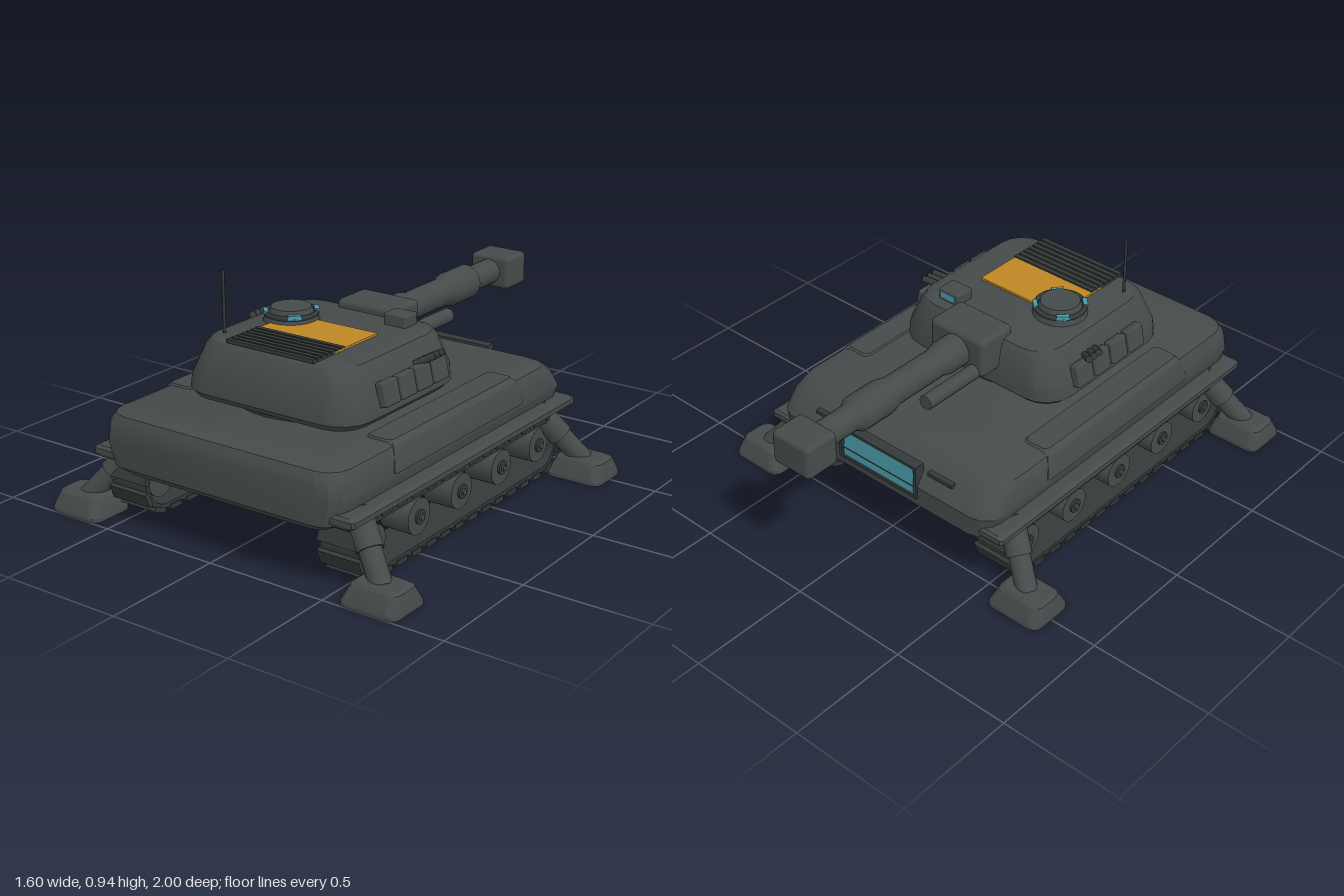
import * as THREE from 'three';
import { toCreasedNormals } from 'three/addons/utils/BufferGeometryUtils.js';
import { RoundedBoxGeometry } from 'three/addons/geometries/RoundedBoxGeometry.js';

const mat = (name, color) => {
  const m = new THREE.MeshStandardMaterial({ color });
  m.name = name;
  return m;
};

// Stack of rounded rectangles, each ring = [y, x0, x1, z0, z1, cornerRadius], bottom to top
function loft(rings, seg = 3) {
  const pos = [], index = [], n = 4 * (seg + 1);
  for (const [y, x0, x1, z0, z1, r] of rings) {
    for (let c = 0; c < 4; c++) {
      const cx = c === 0 || c === 3 ? x1 - r : x0 + r;
      const cz = c < 2 ? z1 - r : z0 + r;
      for (let k = 0; k <= seg; k++) {
        const a = (c + k / seg) * Math.PI / 2;
        pos.push(cx + r * Math.cos(a), y, cz + r * Math.sin(a));
      }
    }
  }
  const top = (rings.length - 1) * n;
  for (let j = 0; j < rings.length - 1; j++) {
    for (let i = 0; i < n; i++) {
      const a = j * n + i, b = j * n + (i + 1) % n;
      index.push(a, a + n, b, b, a + n, b + n);
    }
  }
  for (let i = 1; i < n - 1; i++) index.push(0, i, i + 1, top, top + i + 1, top + i);
  const g = new THREE.BufferGeometry();
  g.setAttribute('position', new THREE.Float32BufferAttribute(pos, 3));
  g.setIndex(index);
  return toCreasedNormals(g, 0.5);
}

// Stadium outline in the z-y plane, drawn as x-y
function stadium(Type, za, zb, y, r) {
  const p = new Type();
  p.absarc(zb, y, r, -Math.PI / 2, Math.PI / 2, false);
  p.absarc(za, y, r, Math.PI / 2, Math.PI * 1.5, false);
  p.closePath();
  return p;
}

export function createModel() {
  const model = new THREE.Group();
  model.name = 'tank';
  const armour = mat('armour grey', 0x454b4a);
  const dark = mat('dark grey', 0x343a39);
  const amber = mat('amber panel', 0xbd8624);
  const glass = mat('teal glass', 0x4a9cab);

  const add = (name, geo, m, x = 0, y = 0, z = 0) => {
    const mesh = new THREE.Mesh(geo, m);
    mesh.name = name;
    mesh.position.set(x, y, z);
    model.add(mesh);
    return mesh;
  };
  const box = (name, w, h, d, m, x, y, z) => add(name, new THREE.BoxGeometry(w, h, d), m, x, y, z);
  const rod = (name, a, b, r, m, sides = 16) => {
    const A = new THREE.Vector3(...a), d = new THREE.Vector3(...b).sub(A);
    const mesh = add(name, new THREE.CylinderGeometry(r, r, d.length(), sides), m);
    mesh.position.copy(A).addScaledVector(d, 0.5);
    mesh.quaternion.setFromUnitVectors(new THREE.Vector3(0, 1, 0), d.normalize());
    return mesh;
  };

  // Hull
  add('hull', loft([
    [0.22, -0.47, 0.47, -0.52, 0.94, 0.07],
    [0.25, -0.52, 0.52, -0.56, 0.97, 0.08],
    [0.34, -0.55, 0.55, -0.565, 0.975, 0.09],
    [0.41, -0.54, 0.54, -0.52, 0.97, 0.09],
    [0.445, -0.525, 0.525, -0.475, 0.95, 0.09],
    [0.455, -0.5, 0.5, -0.45, 0.925, 0.09],
  ]), armour);

  // Turret and its ring
  add('turretRing', new THREE.CylinderGeometry(0.34, 0.34, 0.04, 40), dark, 0, 0.465, 0.33);
  add('turret', loft([
    [0.47, -0.375, 0.375, -0.015, 0.68, 0.11],
    [0.495, -0.4, 0.4, -0.04, 0.7, 0.13],
    [0.55, -0.395, 0.395, -0.04, 0.695, 0.13],
    [0.66, -0.345, 0.345, -0.015, 0.66, 0.11],
    [0.685, -0.33, 0.33, 0, 0.64, 0.11],
    [0.692, -0.31, 0.31, 0.02, 0.62, 0.1],
  ], 4), armour);

  // Roof panel and louvred grille
  box('roofPanel', 0.4, 0.009, 0.27, amber, 0, 0.696, 0.385);
  box('grilleBed', 0.4, 0.008, 0.12, dark, 0, 0.695, 0.58);
  for (let i = 0; i < 7; i++) box('grilleSlat', 0.4, 0.014, 0.019, dark, 0, 0.7, 0.465 + i * 0.028);

  // Hatch with vision blocks
  add('hatchBase', new THREE.CylinderGeometry(0.1, 0.11, 0.035, 24), armour, -0.18, 0.705, 0.28);
  add('hatchLid', new THREE.CylinderGeometry(0.078, 0.088, 0.024, 24), armour, -0.18, 0.734, 0.28);
  const rim = add('hatchRim', new THREE.TorusGeometry(0.097, 0.01, 8, 32), dark, -0.18, 0.722, 0.28);
  rim.rotation.x = Math.PI / 2;
  for (let i = 0; i < 4; i++) {
    const a = Math.PI / 4 + i * Math.PI / 2;
    const b = box('hatchVisionBlock', 0.018, 0.018, 0.05, glass,
      -0.18 + 0.097 * Math.cos(a), 0.727, 0.28 + 0.097 * Math.sin(a));
    b.rotation.y = -a;
  }

  // Sight and antenna
  add('sight', new RoundedBoxGeometry(0.1, 0.055, 0.085, 2, 0.008), armour, 0.19, 0.71, 0.085);
  box('sightLens', 0.07, 0.026, 0.006, glass, 0.19, 0.715, 0.042);
  rod('antenna', [-0.28, 0.68, 0.555], [-0.28, 0.935, 0.555], 0.006, dark, 8);

  // Gun
  add('mantlet', new RoundedBoxGeometry(0.27, 0.165, 0.18, 3, 0.022), armour, 0, 0.643, -0.035);
  const profile = [[0, 0.1], [0.068, 0.1], [0.068, 0.2], [0.058, 0.24], [0.058, 0.48], [0.071, 0.53],
    [0.071, 0.67], [0.053, 0.7], [0.053, 0.88], [0, 0.88]].map(([r, l]) => new THREE.Vector2(r, l));
  const barrel = add('barrel', toCreasedNormals(new THREE.LatheGeometry(profile, 24), 0.5), armour, 0, 0.64, 0);
  barrel.rotation.x = -Math.PI / 2;
  add('muzzle', new RoundedBoxGeometry(0.185, 0.14, 0.15, 3, 0.02), armour, 0, 0.64, -0.925);

  // Driver window on the hull nose
  const windowGroup = new THREE.Group();
  windowGroup.name = 'driverWindow';
  const pane = (name, w, h, d, m, x, y, z) => {
    const p = new THREE.Mesh(new THREE.BoxGeometry(w, h, d), m);
    p.name = name;
    p.position.set(x, y, z);
    windowGroup.add(p);
  };
  pane('windowBacking', 0.39, 0.14, 0.03, dark, 0, 0, 0.018);
  pane('windowGlass', 0.36, 0.12, 0.008, glass, 0, 0, 0);
  for (const s of [-1, 1]) {
    pane('windowFrameEdge', 0.4, 0.012, 0.045, dark, 0, s * 0.067, 0.012);
    pane('windowFrameSide', 0.012, 0.146, 0.045, dark, s * 0.194, 0, 0.012);
  }
  pane('windowBar', 0.37, 0.004, 0.012, dark, 0, -0.025, 0);
  windowGroup.position.set(0, 0.36, -0.562);
  model.add(windowGroup);

  // Parts repeated on both sides
  for (const s of [-1, 1]) {
    const xs = (a, b) => [Math.min(s * a, s * b), Math.max(s * a, s * b)];

    add('sponson', loft([
      [0.355, ...xs(0.4, 0.556), -0.235, 0.645, 0.02],
      [0.38, ...xs(0.4, 0.555), -0.23, 0.64, 0.02],
      [0.445, ...xs(0.4, 0.535), -0.215, 0.62, 0.02],
      [0.463, ...xs(0.41, 0.515), -0.2, 0.61, 0.02],
    ], 2), armour);
    add('fender', loft([
      [0.255, ...xs(0.47, 0.575), -0.54, 0.94, 0.01],
      [0.27, ...xs(0.47, 0.6), -0.55, 0.95, 0.01],
      [0.29, ...xs(0.47, 0.6), -0.55, 0.95, 0.01],
      [0.3, ...xs(0.47, 0.585), -0.54, 0.94, 0.01],
    ], 1), armour);
    rod('recoilCylinder', [s * 0.09, 0.58, 0], [s * 0.09, 0.58, -0.395], 0.03, armour);
    box('noseHandle', 0.12, 0.014, 0.022, dark, s * 0.29, 0.405, -0.53);

    // Turret pouches and smoke launchers
    for (let i = 0; i < 4; i++) {
      const p = add('pouch', new RoundedBoxGeometry(0.04, 0.095, 0.095, 2, 0.01), armour,
        s * 0.4, 0.575, 0.465 - i * 0.105);
      p.rotation.z = s * 0.22;
    }
    for (let i = 0; i < 3; i++) {
      const z = 0.24 - i * 0.03;
      rod('smokeLauncher', [s * 0.37, 0.615, z + 0.02], [s * 0.43, 0.648, z - 0.03], 0.014, dark, 10);
    }

    // Track belt, open between the wheels
    const zA = -0.35, zB = 0.77, yC = 0.14, R = 0.112;
    const outline = stadium(THREE.Shape, zA, zB, yC, R);
    outline.holes.push(stadium(THREE.Path, zA, zB, yC, R - 0.02));
    const belt = new THREE.ExtrudeGeometry(outline, { depth: 0.17, bevelEnabled: false, curveSegments: 10 });
    belt.rotateY(-Math.PI / 2).translate(0.085, 0, 0);
    add('trackBelt', belt, dark, s * 0.49, 0, 0);

    // Track pads along the straights and round the ends
    const pad = (z, y, a) => {
      box('trackPad', 0.18, 0.02, 0.06, dark, s * 0.49, y, z).rotation.x = a;
    };
    for (let i = 0; i < 12; i++) {
      const z = zA + (i + 0.5) * (zB - zA) / 12;
      pad(z, yC - R - 0.002, 0);
      pad(z, yC + R + 0.002, 0);
    }
    for (let i = 0; i < 4; i++) {
      const a = -Math.PI / 2 + (i + 0.5) * Math.PI / 4;
      const c = Math.cos(a) * (R + 0.002), y = yC + Math.sin(a) * (R + 0.002);
      pad(zB + c, y, Math.PI / 2 - a);
      pad(zA - c, y, a - Math.PI / 2);
    }

    // Road wheels
    for (let i = 0; i < 5; i++) {
      const z = zB - i * 0.28;
      rod('wheel', [s * 0.43, yC, z], [s * 0.555, yC, z], 0.07, armour, 28);
      rod('wheelHub', [s * 0.55, yC, z], [s * 0.564, yC, z], 0.028, dark, 16);
      rod('wheelCap', [s * 0.56, yC, z], [s * 0.572, yC, z], 0.012, armour, 12);
    }

    // Stabiliser legs and feet
    for (const [zTop, zLeg, z0, z1] of [[0.81, 0.9, 0.8, 1], [-0.4, -0.495, -0.595, -0.395]]) {
      rod('stabiliserLeg', [s * 0.52, 0.26, zTop], [s * 0.68, 0.06, zLeg], 0.042, armour);
      rod('stabiliserSleeve', [s * 0.51, 0.27, zTop - (zLeg - zTop) * 0.06],
        [s * 0.6, 0.16, (zTop + zLeg) / 2], 0.05, armour);
      add('stabiliserFoot', loft([
        [0, ...xs(0.56, 0.8), z0, z1, 0.035],
        [0.015, ...xs(0.56, 0.8), z0, z1, 0.035],
        [0.075, ...xs(0.585, 0.785), z0 + 0.03, z1 - 0.03, 0.035],
        [0.085, ...xs(0.6, 0.77), z0 + 0.045, z1 - 0.045, 0.03],
      ]), armour);
    }
  }
  return model;
}
